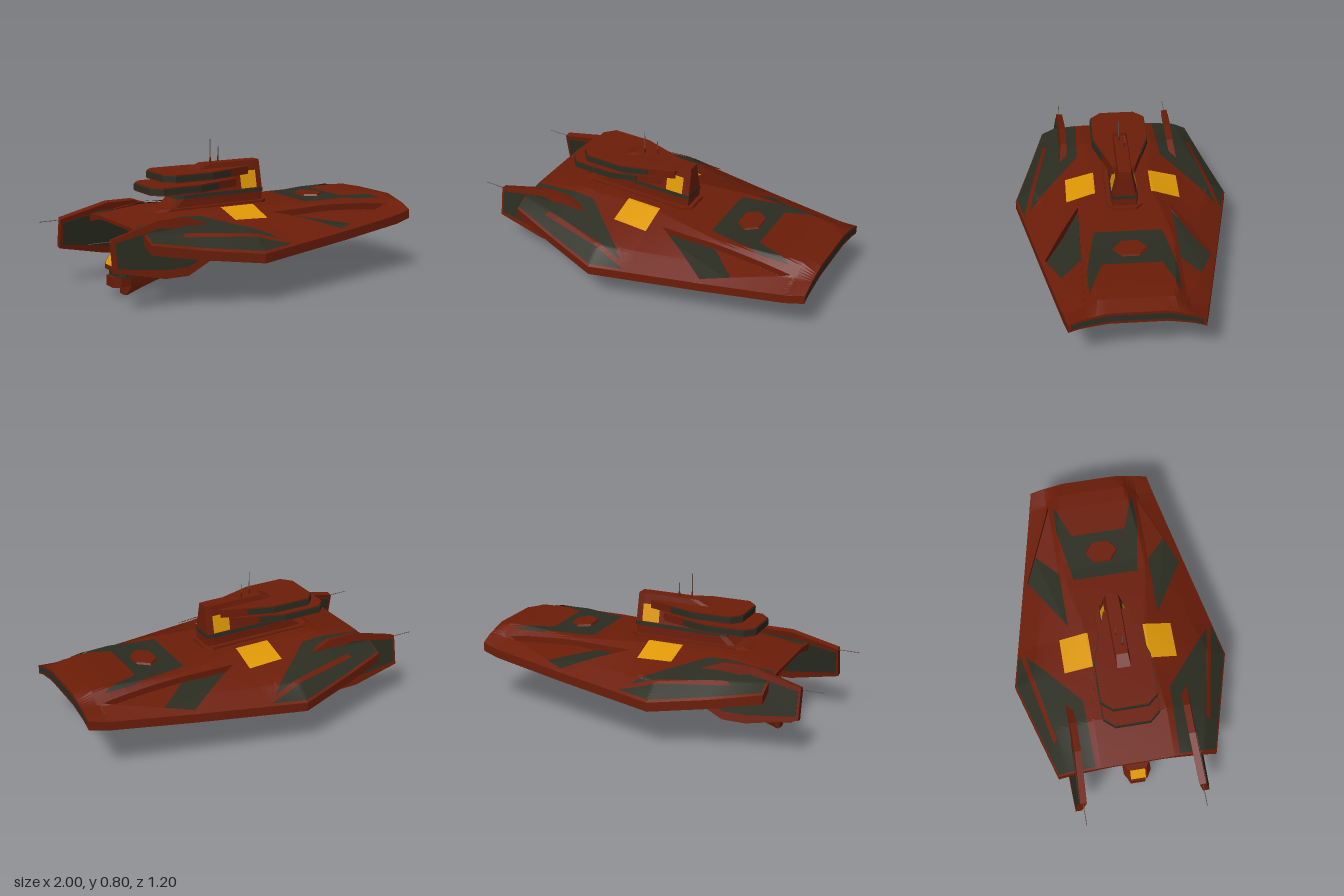
import * as THREE from 'three';

const mat = (name, color) => {
  const m = new THREE.MeshStandardMaterial({ color, side: THREE.DoubleSide });
  m.name = name;
  return m;
};

// Hull stations along x: [x, crease z, crease y, shoulder z, shoulder y, edge z, edge y]
const STATIONS = [
  [-0.71, 0.2, 0.4, 0.36, 0.385, 0.435, 0.35],
  [-0.45, 0.2, 0.44, 0.42, 0.375, 0.51, 0.31],
  [-0.14, 0.16, 0.44, 0.5, 0.345, 0.6, 0.275],
  [0.05, 0.17, 0.44, 0.44, 0.345, 0.557, 0.285],
  [0.45, 0.24, 0.428, 0.36, 0.36, 0.468, 0.305],
  [0.9, 0.2, 0.44, 0.265, 0.375, 0.367, 0.335],
  [1, 0.15, 0.42, 0.28, 0.385, 0.345, 0.355],
];

function hullY(x, z) {
  let i = 0;
  while (i < STATIONS.length - 2 && x > STATIONS[i + 1][0]) i++;
  const a = STATIONS[i], b = STATIONS[i + 1];
  const t = THREE.MathUtils.clamp((x - a[0]) / (b[0] - a[0]), 0, 1);
  const s = a.map((v, k) => v + (b[k] - v) * t);
  const ramp = (z0, y0, z1, y1) => y0 + (y1 - y0) * (z - z0) / (z1 - z0);
  if (z <= s[1]) return s[2];
  return z <= s[3] ? ramp(s[1], s[2], s[3], s[4]) : ramp(s[3], s[4], s[5], s[6]);
}

// Thin at the centre, thicker at the edge and the bow
function thickness(x, z) {
  const centre = 0.018 + 0.05 * THREE.MathUtils.clamp((x - 0.9) / 0.1, 0, 1);
  return THREE.MathUtils.lerp(centre, 0.05, THREE.MathUtils.clamp((z - 0.15) / 0.2, 0, 1));
}

// Faceted geometry from a list of quads, each four [x, y, z] corners
function quads(list) {
  const pos = [];
  for (const [a, b, c, d] of list) pos.push(...a, ...b, ...c, ...a, ...c, ...d);
  const g = new THREE.BufferGeometry();
  g.setAttribute('position', new THREE.Float32BufferAttribute(pos, 3));
  g.computeVertexNormals();
  return g;
}

// Plan quad of [x, z] corners laid over the hull surface
function drape(corners, yAt, n = 20) {
  const [a, b, c, d] = corners;
  const P = (u, v) => {
    const [x, z] = [0, 1].map((k) =>
      (a[k] * (1 - u) + b[k] * u) * (1 - v) + (d[k] * (1 - u) + c[k] * u) * v);
    return [x, yAt(x, z), z];
  };
  const list = [];
  for (let i = 0; i < n; i++) for (let j = 0; j < n; j++) {
    list.push([P(i / n, j / n), P(i / n, (j + 1) / n), P((i + 1) / n, (j + 1) / n), P((i + 1) / n, j / n)]);
  }
  return quads(list);
}

// Vertical strip below a plan path, between two depths (fractions of hull thickness)
function rim(path, f0 = 0, f1 = 1, push = 0) {
  const list = [], n = 12;
  for (let k = 0; k < path.length - 1; k++) for (let i = 0; i < n; i++) {
    const at = (t, f) => {
      const x = THREE.MathUtils.lerp(path[k][0], path[k + 1][0], t);
      const z = THREE.MathUtils.lerp(path[k][1], path[k + 1][1], t);
      return [x + push, hullY(x, z) - f * thickness(x, z), z];
    };
    list.push([at(i / n, f0), at(i / n, f1), at((i + 1) / n, f1), at((i + 1) / n, f0)]);
  }
  return quads(list);
}

// Stacked levels [y, back x, front x, half width], with narrowed ends
function loft(levels, nose = 0.6) {
  const ring = ([y, xb, xf, w]) => {
    const c = Math.min(0.04, (xf - xb) / 3);
    const half = [[xb, w * nose], [xb + c, w], [xf - c, w], [xf, w * nose]];
    return [...half, ...half.map(([x, z]) => [x, -z]).reverse()].map(([x, z]) => [x, y, z]);
  };
  const rings = levels.map(ring), list = [];
  for (let k = 0; k < rings.length - 1; k++) for (let i = 0; i < 8; i++) {
    const j = (i + 1) % 8;
    list.push([rings[k + 1][i], rings[k + 1][j], rings[k][j], rings[k][i]]);
  }
  const top = rings[rings.length - 1], low = rings[0];
  for (let i = 0; i < 3; i++) {
    list.push([low[i], low[i + 1], low[6 - i], low[7 - i]]);
    list.push([top[7 - i], top[6 - i], top[i + 1], top[i]]);
  }
  return quads(list);
}

function plate(points, depth) {
  const g = new THREE.ExtrudeGeometry(new THREE.Shape(points.map((p) => new THREE.Vector2(...p))),
    { depth, bevelEnabled: false });
  return g.translate(0, 0, -depth / 2);
}

export function createModel() {
  const rust = mat('rustRed', 0x6c1d08), dark = mat('darkOlive', 0x2b2d21);
  const gold = mat('goldYellow', 0xdf9806), mast = mat('mastBrown', 0x6a564a);
  const model = new THREE.Group();
  const add = (parent, name, geometry, material) => {
    const m = new THREE.Mesh(geometry, material);
    m.name = name;
    parent.add(m);
    return m;
  };

  for (const side of [1, -1]) {
    const half = new THREE.Group();
    half.name = side > 0 ? 'frontHalf' : 'backHalf';
    half.scale.z = side;
    model.add(half);
    const over = (h) => (x, z) => hullY(x, z) + h;

    // Arched hull shell around a triangular opening, dark beneath the wing
    const A = [0.12, 0.255], B = [0.45, 0.445], C = [0.88, 0.259];
    const patches = [
      [[[-0.71, 0], [1, 0], [1, 0.26], [-0.71, 0.25]], rust],
      [[[-0.71, 0.25], [-0.14, 0.253], [-0.14, 0.6], [-0.71, 0.435]], dark],
      [[[-0.14, 0.253], A, B, [-0.14, 0.6]], rust],
      [[B, C, [1, 0.26], [1, 0.345]], rust],
      [[[-0.14, 0.6], B, [1, 0.345], [0.45, 0.468]], rust],
    ];
    for (const [p, under] of patches) {
      add(half, 'hullTop', drape(p, hullY), rust);
      add(half, 'hullUnderside', drape(p, (x, z) => hullY(x, z) - thickness(x, z)), under);
    }
    add(half, 'hullRim', rim([[-0.71, 0], [-0.71, 0.435], [-0.14, 0.6], [1, 0.345], [1, 0]]), rust);
    add(half, 'openingRim', rim([A, B, C, A]), rust);
    add(half, 'bowStrip', rim([[1, 0], [1, 0.33]], 0.2, 0.75, 0.003), dark);

    // Lower shelf running inward beneath the deck, dark aft and rust forward
    add(half, 'darkShelf', quads([[[0.09, 0.355, 0.25], [0.44, 0.29, 0.462],
      [0.62, 0.31, 0.385], [0.32, 0.352, 0.12]]]), dark);
    add(half, 'rustShelf', quads([[[0.32, 0.352, 0.12], [0.62, 0.31, 0.385],
      [0.92, 0.345, 0.25], [0.92, 0.35, 0.12]]]), rust);

    // Dark wing plates with a thin rust streak and a ridge
    add(half, 'wingPlate', drape([[-0.7, 0.23], [-0.33, 0.24], [-0.14, 0.592], [-0.7, 0.43]], over(0.008)), dark);
    add(half, 'wingPlateTip', drape([[-0.33, 0.24], [0.05, 0.548], [0.05, 0.548], [-0.14, 0.592]], over(0.008)), dark);
    add(half, 'wingStreak', drape([[-0.53, 0.432], [-0.51, 0.412], [0.07, 0.53], [0.05, 0.552]], over(0.014), 16), rust);
    add(half, 'wingRidge', drape([[-0.62, 0.185], [-0.36, 0.185], [-0.34, 0.21], [-0.62, 0.2]], over(0.013), 8), rust);
    add(half, 'wingRidge', drape([[-0.36, 0.185], [0.04, 0.5], [0.04, 0.53], [-0.36, 0.21]], over(0.013), 12), rust);

    // Gold deck panel and bow inlay
    add(half, 'deckPanel', drape([[-0.15, 0.155], [0.05, 0.155], [0.05, 0.315], [-0.15, 0.315]], over(0.007), 14), gold);
    add(half, 'bowInlay', drape([[0.38, 0], [0.65, 0], [0.65, 0.155], [0.38, 0.182]], over(0.006), 14), dark);
    add(half, 'bowInlayArm', drape([[0.38, 0.182], [0.65, 0.155], [0.86, 0.23], [0.7, 0.235]], over(0.006), 14), dark);

    // Tilted stern fin with dark faces and a trailing spike
    const fin = new THREE.Group();
    fin.name = 'sternFin';
    fin.position.set(0, 0.3, 0.338);
    fin.rotation.x = -0.18;
    half.add(fin);
    const low = (pts) => pts.map(([x, y]) => [x, y - 0.3]);
    add(fin, 'finBody', plate(low([[-0.88, 0.21], [-0.6, 0.15], [-0.47, 0.15], [-0.32, 0.22],
      [-0.32, 0.4], [-0.45, 0.45], [-0.61, 0.45], [-0.88, 0.38]]), 0.036), rust);
    add(fin, 'finPanel', plate(low([[-0.865, 0.23], [-0.6, 0.195], [-0.47, 0.195], [-0.36, 0.245],
      [-0.36, 0.36], [-0.6, 0.41], [-0.865, 0.36]]), 0.042), dark);
    const spike = add(fin, 'finSpike', new THREE.CylinderGeometry(0.002, 0.002, 0.12, 6), mast);
    spike.rotation.z = Math.PI / 2;
    spike.position.set(-0.94, 0.07, 0);

    // Gold side windows on keel and tower
    add(half, 'keelWindow', quads([[[-0.41, 0.11, 0.069], [-0.315, 0.12, 0.07],
      [-0.3, 0.23, 0.083], [-0.41, 0.23, 0.083]]]), gold);
    add(half, 'towerWindow', quads([[[0.035, 0.52, 0.071], [0.135, 0.52, 0.071],
      [0.135, 0.615, 0.05], [0.035, 0.615, 0.05]]]), gold);
  }

  // Bow hatch
  const hatch = new THREE.CylinderGeometry(0.07, 0.08, 0.02, 6).toNonIndexed().scale(0.95, 1, 1.25);
  hatch.computeVertexNormals();
  add(model, 'bowHatch', hatch, rust).position.set(0.53, 0.437, 0);

  // Keel and the dark band around its nose
  add(model, 'keel', loft([[0, -0.67, -0.645, 0.035], [0.06, -0.67, -0.475, 0.053], [0.12, -0.68, -0.28, 0.067],
    [0.2, -0.69, -0.005, 0.076], [0.24, -0.67, 0.06, 0.079], [0.42, -0.5, 0.17, 0.079]]), rust);
  add(model, 'keelBand', loft([[0.25, -0.03, 0.085, 0.082], [0.285, -0.02, 0.105, 0.082]]), dark);

  // Stern engine blocks and the sloping stern window
  add(model, 'lowerEngine', loft([[0.05, -0.74, -0.6, 0.058], [0.105, -0.74, -0.6, 0.06]], 0.7), rust);
  add(model, 'engineGap', loft([[0.105, -0.72, -0.51, 0.072], [0.14, -0.72, -0.51, 0.072]], 0.7), dark);
  add(model, 'upperEngine', loft([[0.14, -0.742, -0.52, 0.074], [0.165, -0.742, -0.52, 0.076],
    [0.23, -0.705, -0.56, 0.072]], 0.7), rust);
  add(model, 'sternWindow', quads([[[-0.745, 0.168, -0.042], [-0.745, 0.168, 0.042],
    [-0.709, 0.231, 0.042], [-0.709, 0.231, -0.042]]]), gold);

  // Tower
  add(model, 'towerBase', loft([[0.42, -0.53, 0.2, 0.1], [0.45, -0.46, 0.195, 0.098]]), rust);
  add(model, 'towerFoot', loft([[0.445, -0.42, 0.172, 0.072], [0.5, -0.36, 0.172, 0.07]], 0.9), rust);
  add(model, 'towerBand', loft([[0.495, -0.37, 0.176, 0.073], [0.515, -0.36, 0.176, 0.071]], 0.9), dark);
  add(model, 'tower', loft([[0.515, -0.35, 0.174, 0.068], [0.62, -0.3, 0.172, 0.045], [0.67, -0.18, 0.17, 0.035]], 0.9), rust);

  // Two tower galleries with dark bands around their outer edges
  const bothSides = (edge) => [...edge.map(([x, z]) => [x, -z]), ...edge.slice().reverse()];
  for (const [y, shift] of [[0.557, 0], [0.62, 0.075]]) {
    const slab = bothSides([[-0.54, 0.095], [-0.49, 0.15], [-0.27, 0.15], [0.01, 0.06]]);
    const band = bothSides([[-0.544, 0.095], [-0.494, 0.154], [-0.268, 0.154], [-0.13, 0.11], [-0.13, 0.04]]);
    const lay = (pts, h) => plate(pts, h).rotateX(Math.PI / 2).translate(shift, y, 0);
    add(model, 'gallery', lay(slab, 0.044), rust);
    add(model, 'galleryBand', lay(band, 0.032), dark);
  }

  // Masts
  for (const [x, top, z] of [[-0.13, 0.8, 0.011], [-0.065, 0.75, -0.015]]) {
    add(model, 'mast', new THREE.CylinderGeometry(0.002, 0.003, top - 0.66, 6), mast).position.set(x, (top + 0.66) / 2, z);
    add(model, 'mastFoot', new THREE.CylinderGeometry(0.004, 0.005, 0.04, 6), rust).position.set(x, 0.68, z);
  }
  return model;
}
